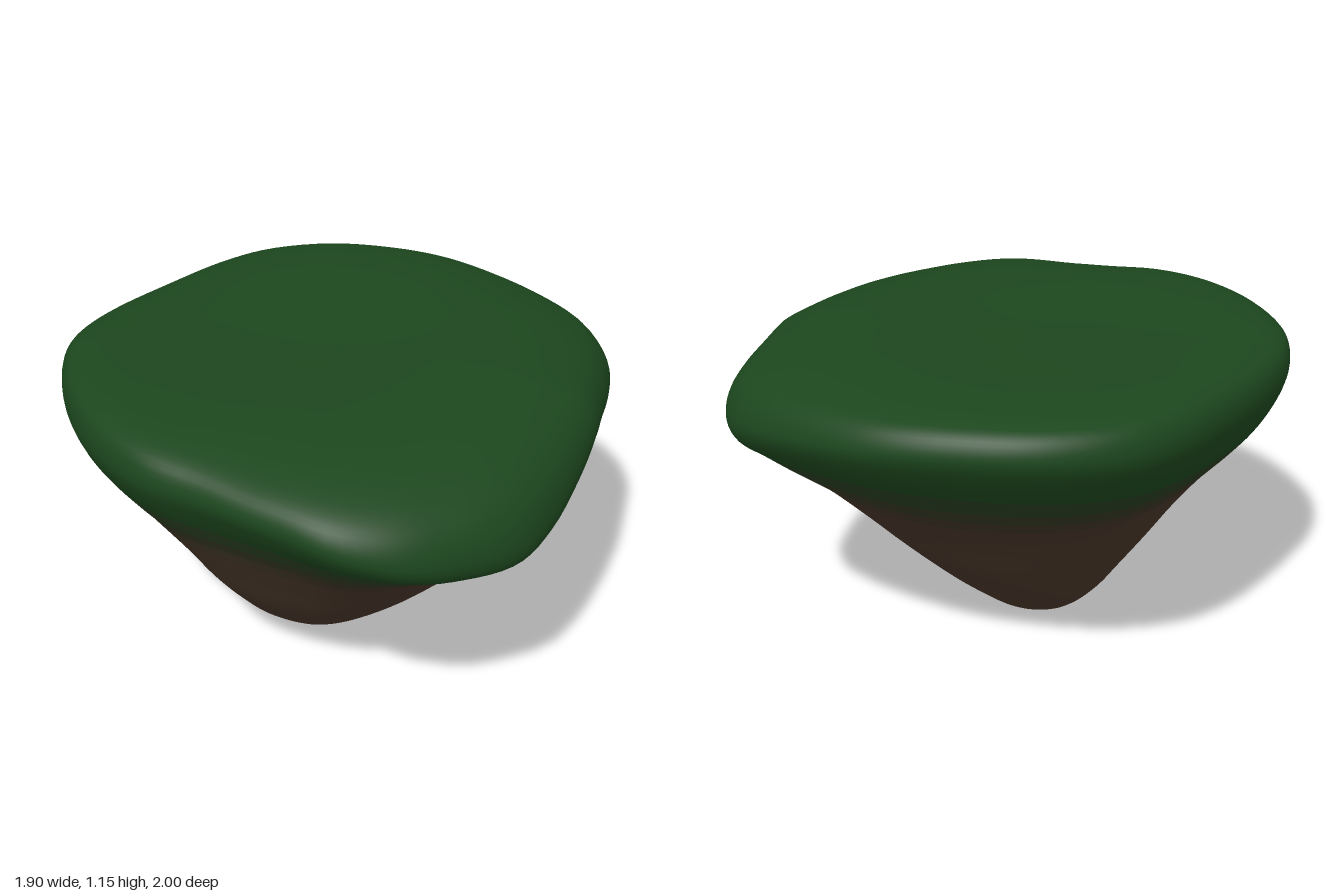
import * as THREE from 'three';

// Rim outline seen from above, as x, z pairs from +x towards +z
const OUTLINE = [
  [0.945, 0], [0.93, 0.2], [0.89, 0.45], [0.82, 0.645], [0.69, 0.8], [0.52, 0.935], [0.32, 0.995],
  [0.1, 0.965], [-0.15, 0.905], [-0.38, 0.855], [-0.6, 0.72], [-0.8, 0.5], [-0.93, 0.25],
  [-0.955, 0.08], [-0.93, -0.1], [-0.83, -0.38], [-0.7, -0.65], [-0.55, -0.83], [-0.3, -0.96],
  [0, -1], [0.23, -0.98], [0.45, -0.905], [0.66, -0.8], [0.82, -0.68], [0.91, -0.52], [0.935, -0.35],
  [0.94, -0.18],
];

// Cross-sections from the tip to the top: y, min x, max x, min z, max z, roundness
const LEVELS = [
  [0, -0.1, -0.1, 0.02, 0.02, 0.7],
  [0.012, -0.18, 0, -0.07, 0.11, 0.7],
  [0.05, -0.255, 0.1, -0.165, 0.2, 0.7],
  [0.12, -0.33, 0.2, -0.25, 0.3, 0.65],
  [0.2, -0.39, 0.3, -0.33, 0.39, 0.6],
  [0.35, -0.5, 0.46, -0.46, 0.53, 0.5],
  [0.5, -0.605, 0.605, -0.575, 0.64, 0.4],
  [0.64, -0.715, 0.73, -0.695, 0.745, 0.3],
  [0.7, -0.77, 0.785, -0.755, 0.79, 0.2],
  [0.76, -0.825, 0.845, -0.81, 0.84, 0.15],
  [0.84, -0.89, 0.905, -0.88, 0.9, 0.1],
  [0.92, -0.935, 0.942, -0.95, 0.96, 0],
  [1.0, -0.955, 0.945, -1, 0.995, 0],
  [1.06, -0.94, 0.91, -0.985, 0.97, 0],
  [1.1, -0.89, 0.84, -0.94, 0.89, 0],
  [1.135, -0.7, 0.64, -0.75, 0.68, 0],
  [1.137, -0.4, 0.38, -0.4, 0.38, 0],
  [1.125, 0, 0, 0, 0, 0],
];

// Colour bands, each running between two cross-sections
const BANDS = [
  ['soil', 0, 7, 0x463528],
  ['lowerSoilEdge', 7, 8, 0x3d3425],
  ['upperSoilEdge', 8, 9, 0x343722],
  ['lowerGrassEdge', 9, 10, 0x283d20],
  ['grass', 10, 17, 0x1c461d],
];

const COLUMNS = 120;
const STEPS = 4;

// Place one outline point on one cross-section
function levelPoint([y, x0, x1, z0, z1, round], x, z) {
  const nx = (x + 0.005) / 0.95, nz = (z + 0.0025) / 0.9975;
  const angle = Math.atan2(nz, nx);
  const px = (x0 + x1) / 2 + (x1 - x0) / 2 * THREE.MathUtils.lerp(nx, Math.cos(angle), round);
  const pz = (z0 + z1) / 2 + (z1 - z0) / 2 * THREE.MathUtils.lerp(nz, Math.sin(angle), round);
  const { smoothstep } = THREE.MathUtils;
  const r2 = px * px + pz * pz;
  // gentle tilt of the grassy top and rim
  const tilt = (0.025 * px * (1 - 2 * r2) - 0.02 * pz * r2) * smoothstep(y, 0.75, 1.05);
  // the rim sags at three corners, most at the front left one
  const top = smoothstep(y, 0.98, 1.1);
  const sagFactor = px > 0 ? (pz > 0 ? 0.24 : 0.13) : (pz > 0 ? 0 : 0.1);
  const sag = sagFactor * px * px * Math.abs(pz) * r2 * smoothstep(y, 0.4, 0.92) * (1 - 0.4 * top);
  // the grass swells up at the front right corner
  const swell = 0.12 * Math.max(-px, 0) * Math.max(pz, 0) * r2 * top;
  return new THREE.Vector3(px, y + tilt - sag + swell, pz);
}

// Smooth closed skin through all cross-sections
function buildSkin() {
  const outline = new THREE.CatmullRomCurve3(
    OUTLINE.map(([x, z]) => new THREE.Vector3(x, 0, z)), true);
  const rows = (LEVELS.length - 1) * STEPS;
  const positions = new Float32Array((rows + 1) * COLUMNS * 3);
  for (let j = 0; j < COLUMNS; j++) {
    const o = outline.getPoint(j / COLUMNS);
    const column = new THREE.CatmullRomCurve3(LEVELS.map((l) => levelPoint(l, o.x, o.z)));
    for (let i = 0; i <= rows; i++) {
      column.getPoint(i / rows).toArray(positions, (i * COLUMNS + j) * 3);
    }
  }
  const skin = new THREE.BufferGeometry();
  skin.setAttribute('position', new THREE.BufferAttribute(positions, 3));
  skin.setIndex(rowIndices(rows));
  skin.computeVertexNormals();
  // the tip and the middle of the top face straight down and up
  const normals = skin.attributes.normal;
  for (let j = 0; j < COLUMNS; j++) {
    normals.setXYZ(j, 0, -1, 0);
    normals.setXYZ(rows * COLUMNS + j, 0, 1, 0);
  }
  return skin;
}

function rowIndices(rows) {
  const index = [];
  for (let i = 0; i < rows; i++) {
    for (let j = 0; j < COLUMNS; j++) {
      const k = (j + 1) % COLUMNS;
      const a = i * COLUMNS + j, b = i * COLUMNS + k;
      const c = a + COLUMNS, d = b + COLUMNS;
      index.push(a, c, b, b, c, d);
    }
  }
  return index;
}

export function createModel() {
  const island = new THREE.Group();
  island.name = 'floatingIsland';
  const skin = buildSkin();
  // the bands share the skin's normals, so no seam shows between them
  for (const [name, from, to, color] of BANDS) {
    const start = from * STEPS * COLUMNS * 3;
    const end = (to * STEPS + 1) * COLUMNS * 3;
    const band = new THREE.BufferGeometry();
    for (const key of ['position', 'normal']) {
      band.setAttribute(key, new THREE.BufferAttribute(skin.attributes[key].array.slice(start, end), 3));
    }
    band.setIndex(rowIndices((to - from) * STEPS));
    const mesh = new THREE.Mesh(band, new THREE.MeshStandardMaterial({ color }));
    mesh.name = name;
    island.add(mesh);
  }
  return island;
}
